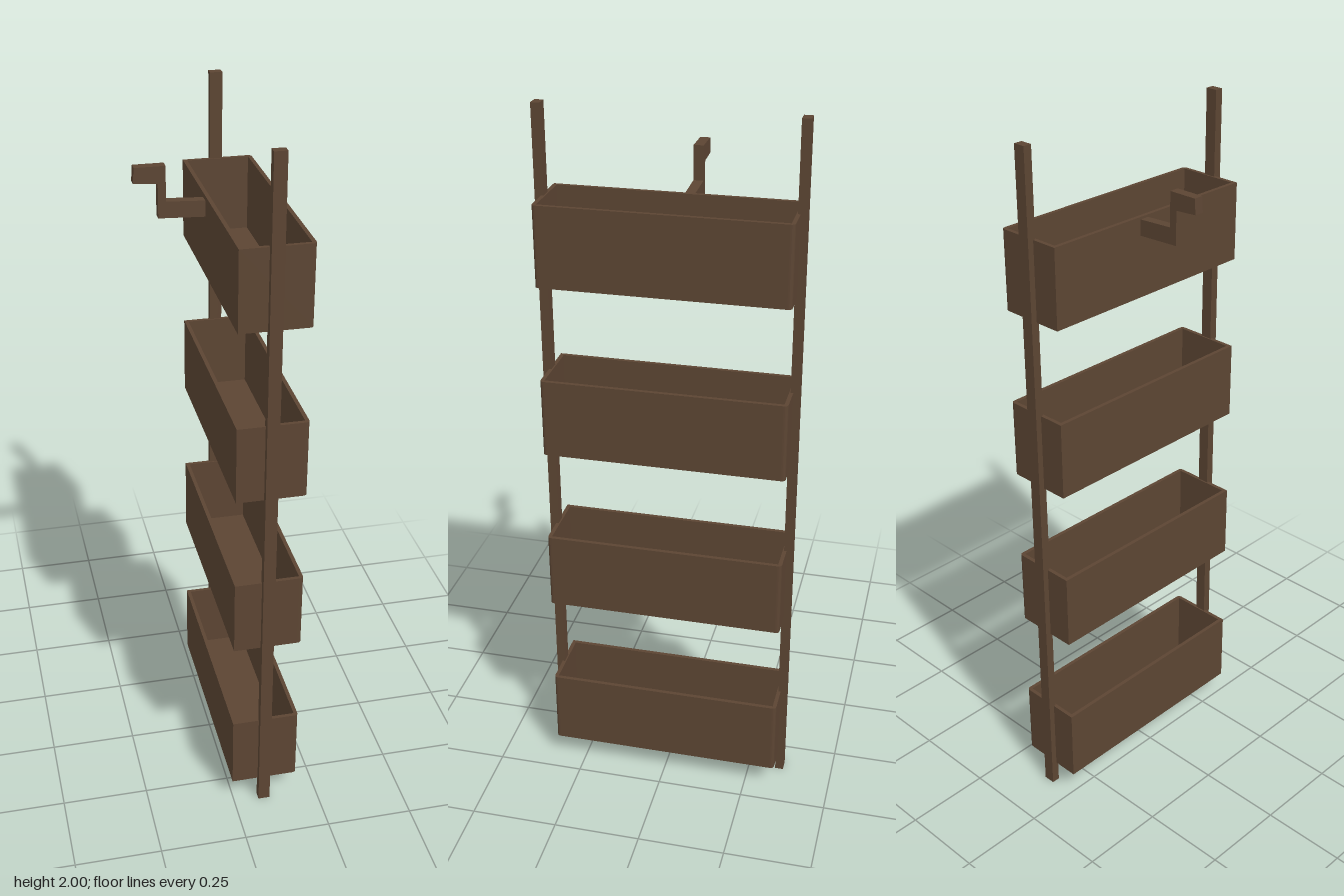
import * as THREE from 'three';

export function createModel() {
  const model = new THREE.Group();
  const wood = new THREE.MeshStandardMaterial({ color: 0x5c4533 });
  wood.name = 'brownWood';

  const add = (name, geometry, parent = model) => {
    const mesh = new THREE.Mesh(geometry, wood);
    mesh.name = name;
    parent.add(mesh);
    return mesh;
  };

  // Upright extrusion of a ground-plane outline
  const raise = (shape, depth) =>
    new THREE.ExtrudeGeometry(shape, { depth, bevelEnabled: false, curveSegments: 5 }).rotateX(-Math.PI / 2);

  // Tray outline: square at the back (-x), small rounded corners on the +x side
  const x0 = -0.003, x1 = 0.192, halfLength = 0.338, wall = 0.011, r = 0.012;
  const outline = () => {
    const s = new THREE.Shape();
    s.moveTo(x0, -halfLength);
    s.lineTo(x1 - r, -halfLength);
    s.quadraticCurveTo(x1, -halfLength, x1, -halfLength + r);
    s.lineTo(x1, halfLength - r);
    s.quadraticCurveTo(x1, halfLength, x1 - r, halfLength);
    s.lineTo(x0, halfLength);
    s.closePath();
    return s;
  };
  const rim = outline();
  const ix0 = x0 + wall, ix1 = x1 - wall, iz = halfLength - wall;
  rim.holes.push(new THREE.Path([
    new THREE.Vector2(ix0, -iz), new THREE.Vector2(ix0, iz),
    new THREE.Vector2(ix1, iz), new THREE.Vector2(ix1, -iz),
  ]));

  // Four open planter trays
  const height = 0.222, floor = 0.012;
  const wallGeometry = raise(rim, height - floor).translate(0, floor, 0);
  const floorGeometry = raise(outline(), floor);
  for (let i = 0; i < 4; i++) {
    const tray = new THREE.Group();
    tray.name = `tray${i + 1}`;
    tray.position.y = 0.069 + i * 0.49;
    add('trayWalls', wallGeometry, tray);
    add('trayFloor', floorGeometry, tray);
    model.add(tray);
  }

  // Two side posts
  for (const side of [-1, 1]) {
    add(side > 0 ? 'frontPost' : 'backPost', new THREE.BoxGeometry(0.034, 2, 0.024))
      .position.set(0.0905, 1, side * 0.343);
  }

  // Stepped hanging hook behind the top tray
  const hook = new THREE.Shape([
    [-0.196, 1.815], [-0.132, 1.811], [-0.132, 1.718], [-0.008, 1.713],
    [-0.008, 1.757], [-0.111, 1.762], [-0.111, 1.857], [-0.193, 1.857],
  ].map(([x, y]) => new THREE.Vector2(x, y)));
  add('hangingHook', new THREE.ExtrudeGeometry(hook, { depth: 0.027, bevelEnabled: false })
    .translate(0, 0, -0.043));

  return model;
}
